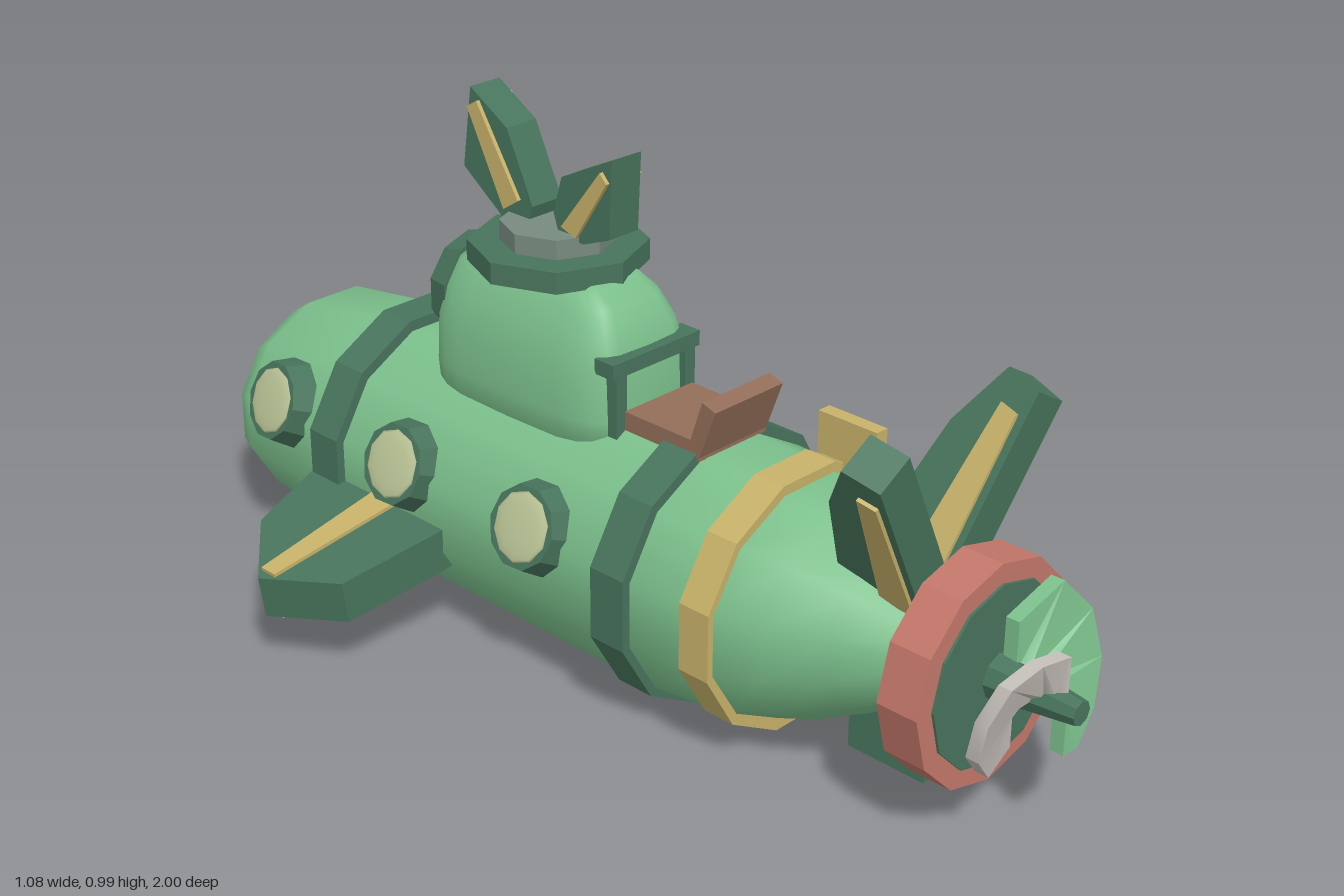
import * as THREE from 'three';
import { toCreasedNormals } from 'three/addons/utils/BufferGeometryUtils.js';

const mat = (name, color) => {
  const m = new THREE.MeshStandardMaterial({ color });
  m.name = name;
  return m;
};

// Skin a list of equal-length rings of points and close both ends
function loft(rings) {
  const n = rings[0].length, pos = [], idx = [];
  rings.forEach(r => r.forEach(p => pos.push(...p)));
  for (let i = 0; i < rings.length - 1; i++) for (let j = 0; j < n; j++) {
    const a = i * n + j, b = i * n + (j + 1) % n;
    idx.push(a, b, a + n, b, b + n, a + n);
  }
  const last = (rings.length - 1) * n;
  [rings[0], rings[rings.length - 1]].forEach((r, k) => {
    const c = pos.length / 3;
    pos.push(...[0, 1, 2].map(q => r.reduce((s, p) => s + p[q], 0) / n));
    for (let j = 0; j < n; j++) {
      const a = j, b = (j + 1) % n;
      if (k) idx.push(c, last + a, last + b); else idx.push(c, b, a);
    }
  });
  const g = new THREE.BufferGeometry();
  g.setAttribute('position', new THREE.Float32BufferAttribute(pos, 3));
  g.setIndex(idx);
  g.computeVertexNormals();
  return g;
}

// Outline extruded evenly to both sides of its plane
function slab(points, depth) {
  const shape = new THREE.Shape(points.map(p => new THREE.Vector2(...p)));
  return new THREE.ExtrudeGeometry(shape, { depth, bevelEnabled: false }).translate(0, 0, -depth / 2);
}
const sideSlab = (zy, depth) => slab(zy, depth).rotateY(-Math.PI / 2); // outline given as z, y
const crease = g => toCreasedNormals(g, 0.4);
// Flat-sided drum along z
const drum = (rFront, rBack, len, sides, turn = 0) =>
  crease(new THREE.CylinderGeometry(rFront, rBack, len, sides).rotateY(turn).rotateX(Math.PI / 2));

export function createModel() {
  const hullGreen = mat('hull green', 0x7cc08c), darkGreen = mat('dark green', 0x48745c);
  const gold = mat('gold', 0xc8b26a), red = mat('red', 0xc4776a), brown = mat('brown', 0x936e59);
  const grey = mat('grey', 0x788a80), pale = mat('pale grey', 0xc4beb8), glass = mat('glass', 0xbcc698);

  const model = new THREE.Group();
  const add = (name, geo, material, x = 0, y = 0, z = 0, parent = model) => {
    const m = new THREE.Mesh(geo, material);
    m.name = name;
    m.position.set(x, y, z);
    parent.add(m);
    return m;
  };
  const box = (name, w, h, d, material, x, y, z) => add(name, new THREE.BoxGeometry(w, h, d), material, x, y, z);

  // Hull: z, centre height, half width, half height
  const k = 1 / Math.cos(Math.PI / 12);
  add('hull', loft([
    [-0.985, 0.2, 0.065, 0.06], [-0.94, 0.207, 0.14, 0.14], [-0.88, 0.226, 0.187, 0.182],
    [-0.81, 0.245, 0.222, 0.208], [-0.53, 0.257, 0.243, 0.235], [0.25, 0.258, 0.243, 0.236],
    [0.42, 0.268, 0.237, 0.22], [0.52, 0.276, 0.2, 0.19], [0.62, 0.283, 0.15, 0.145], [0.76, 0.287, 0.075, 0.07],
  ].map(([z, cy, rx, ry]) => Array.from({ length: 12 }, (_, i) => {
    const a = (i + 0.5) * Math.PI / 6;
    return [Math.cos(a) * rx * k, cy + Math.sin(a) * ry * k, z];
  }))), hullGreen);

  // Bands round the hull
  for (const z of [0.22, -0.53])
    add('hullBand', drum(0.261, 0.261, 0.077, 12, Math.PI / 12), darkGreen, 0, 0.261, z).scale.x = 1.03;
  add('goldBand', drum(0.244, 0.244, 0.065, 12, Math.PI / 12), gold, 0, 0.267, 0.405).scale.x = 1.03;

  // Portholes on both flanks
  const porthole = (name, x, y, z, normal, r) => {
    const g = new THREE.Group();
    g.name = name;
    g.position.set(x, y, z);
    g.quaternion.setFromUnitVectors(new THREE.Vector3(0, 0, 1), normal.normalize());
    add('portholeFrame', drum(r * 0.86, r, 0.055, 10), darkGreen, 0, 0, 0, g);
    const dome = new THREE.SphereGeometry(r * 0.74, 10, 4, 0, Math.PI * 2, 0, Math.PI / 2).rotateX(Math.PI / 2);
    add('portholeGlass', dome.scale(1, 1, r > 0.1 ? 0.4 : 0.12), glass, 0, 0, 0.027, g);
    model.add(g);
  };
  for (const s of [1, -1]) {
    [[0.015, 0], [-0.327, 0], [-0.692, -0.13]].forEach(([z, lean]) =>
      porthole('porthole', s * (lean ? 0.226 : 0.238), 0.333, z, new THREE.Vector3(s, 0.38, lean), 0.088));
  }

  for (const s of [1, -1]) {
    // Drooping side planes
    const plane = new THREE.Group();
    plane.name = s > 0 ? 'leftPlane' : 'rightPlane';
    plane.position.y = 0.2355;
    plane.rotation.z = -s * 0.149;
    model.add(plane);
    const flat = (pts, d) => slab(pts.map(([x, z]) => [s * x, -z]), d).rotateX(-Math.PI / 2);
    add('planeBlade', flat([[0.2, -0.575], [0.255, -0.572], [0.42, -0.52], [0.54, -0.376], [0.46, -0.238],
      [0.255, -0.217], [0.2, -0.215]], 0.083), darkGreen, 0, 0, 0, plane);
    add('planeStripe', flat([[0.22, -0.413], [0.52, -0.39], [0.52, -0.353], [0.22, -0.348]], 0.097),
      gold, 0, 0, 0, plane);

    // Raised tail fins
    const fin = new THREE.Group();
    fin.name = s > 0 ? 'leftTailFin' : 'rightTailFin';
    fin.position.y = 0.35;
    fin.rotation.z = -s * Math.PI / 6;
    model.add(fin);
    add('finBlade', sideSlab([[0.765, 0.39], [0.697, 0.412], [0.63, 0.3], [0.575, 0.11], [0.59, 0.02],
      [0.725, 0.02]], 0.077), darkGreen, 0, 0, 0, fin);
    add('finStripe', sideSlab([[0.745, 0.345], [0.71, 0.355], [0.65, 0.06], [0.715, 0.05]], 0.091),
      gold, 0, 0, 0, fin);
  }
  box('bottomRudder', 0.047, 0.22, 0.162, darkGreen, 0, 0.15, 0.643);

  // Propeller guard
  add('guardRing', drum(0.2, 0.2, 0.08, 12), red, 0, 0.29, 0.795);
  add('guardDisc', drum(0.164, 0.164, 0.06, 12), darkGreen, 0, 0.29, 0.81);

  // Propeller: two twisted half-turn blades on a hub
  add('propellerHub', drum(0.022, 0.042, 0.165, 8), darkGreen, 0, 0.29, 0.9175);
  const blade = (name, start, radii, material) => add(name, toCreasedNormals(loft(radii.map((ro, i) => {
    const f = i / (radii.length - 1), a = start + f * Math.PI, z = 0.96 - 0.1 * f, h = 0.013;
    return [[0.02, z + h], [ro, z + h], [ro, z - h], [0.02, z - h]]
      .map(([r, pz]) => [Math.cos(a) * r, Math.sin(a) * r, pz]);
  })), 0.6), material, 0, 0.29, 0);
  blade('greenBlade', -Math.PI / 2, [0.09, 0.13, 0.15, 0.165, 0.175, 0.18, 0.11], hullGreen);
  blade('paleBlade', Math.PI / 2, [0.09, 0.1, 0.12, 0.135, 0.15, 0.155, 0.12], pale);

  // Conning tower: height, half width, front z, back z
  add('tower', loft([
    [0.42, 0.133, -0.385, 0.075], [0.5, 0.138, -0.39, 0.075], [0.58, 0.134, -0.388, 0.073],
    [0.64, 0.118, -0.378, 0.06], [0.69, 0.095, -0.355, 0.033], [0.72, 0.07, -0.318, -0.005],
  ].map(([y, hx, z0, z1]) => Array.from({ length: 24 }, (_, i) => {
    const a = i / 24 * Math.PI * 2, p = v => Math.sign(v) * Math.pow(Math.abs(v), 0.45);
    return [p(Math.sin(a)) * hx, y, (z0 + z1) / 2 + p(Math.cos(a)) * (z1 - z0) / 2];
  }))), hullGreen);
  porthole('towerWindow', 0, 0.605, -0.372, new THREE.Vector3(0, 0, -1), 0.115);

  // Door frame at the back of the tower
  for (const s of [1, -1]) box('doorPost', 0.025, 0.12, 0.03, darkGreen, s * 0.085, 0.535, 0.068);
  box('doorLintel', 0.215, 0.028, 0.045, darkGreen, 0, 0.605, 0.062);

  // Hatch
  const disc = (name, r, h, m, y) => add(name, crease(new THREE.CylinderGeometry(r, r, h, 8)), m, 0, y, -0.16);
  disc('hatchRim', 0.162, 0.04, darkGreen, 0.734);
  disc('hatchLid', 0.104, 0.036, grey, 0.772);

  // Pair of fins on the hatch
  add('frontHatchFin', sideSlab([[-0.343, 1], [-0.25, 0.945], [-0.187, 0.815], [-0.2, 0.775], [-0.265, 0.775],
    [-0.365, 0.847]], 0.07), darkGreen);
  add('frontHatchStripe', sideSlab([[-0.345, 0.965], [-0.32, 0.98], [-0.217, 0.82], [-0.255, 0.795]], 0.086), gold);
  add('rearHatchFin', sideSlab([[0.01, 0.95], [-0.113, 0.89], [-0.134, 0.82], [-0.12, 0.78], [-0.06, 0.78],
    [0.003, 0.805]], 0.07), darkGreen);
  add('rearHatchStripe', sideSlab([[-0.012, 0.925], [0.004, 0.908], [-0.072, 0.79], [-0.108, 0.802]], 0.086), gold);

  // Deck seat
  box('seatBase', 0.168, 0.035, 0.175, brown, 0, 0.51, 0.177);
  add('seatBack', sideSlab([[0.235, 0.5], [0.265, 0.5], [0.3, 0.595], [0.27, 0.605]], 0.168), brown);

  // Sign on a post
  box('signPost', 0.02, 0.14, 0.022, gold, 0, 0.495, 0.525);
  box('signPlate', 0.026, 0.075, 0.122, gold, 0, 0.595, 0.523);

  // Nose lamp
  add('noseLamp', new THREE.SphereGeometry(0.056, 12, 8), pale, 0, 0.122, -0.944);
  box('lampMount', 0.065, 0.05, 0.07, darkGreen, 0, 0.067, -0.893);

  return model;
}
